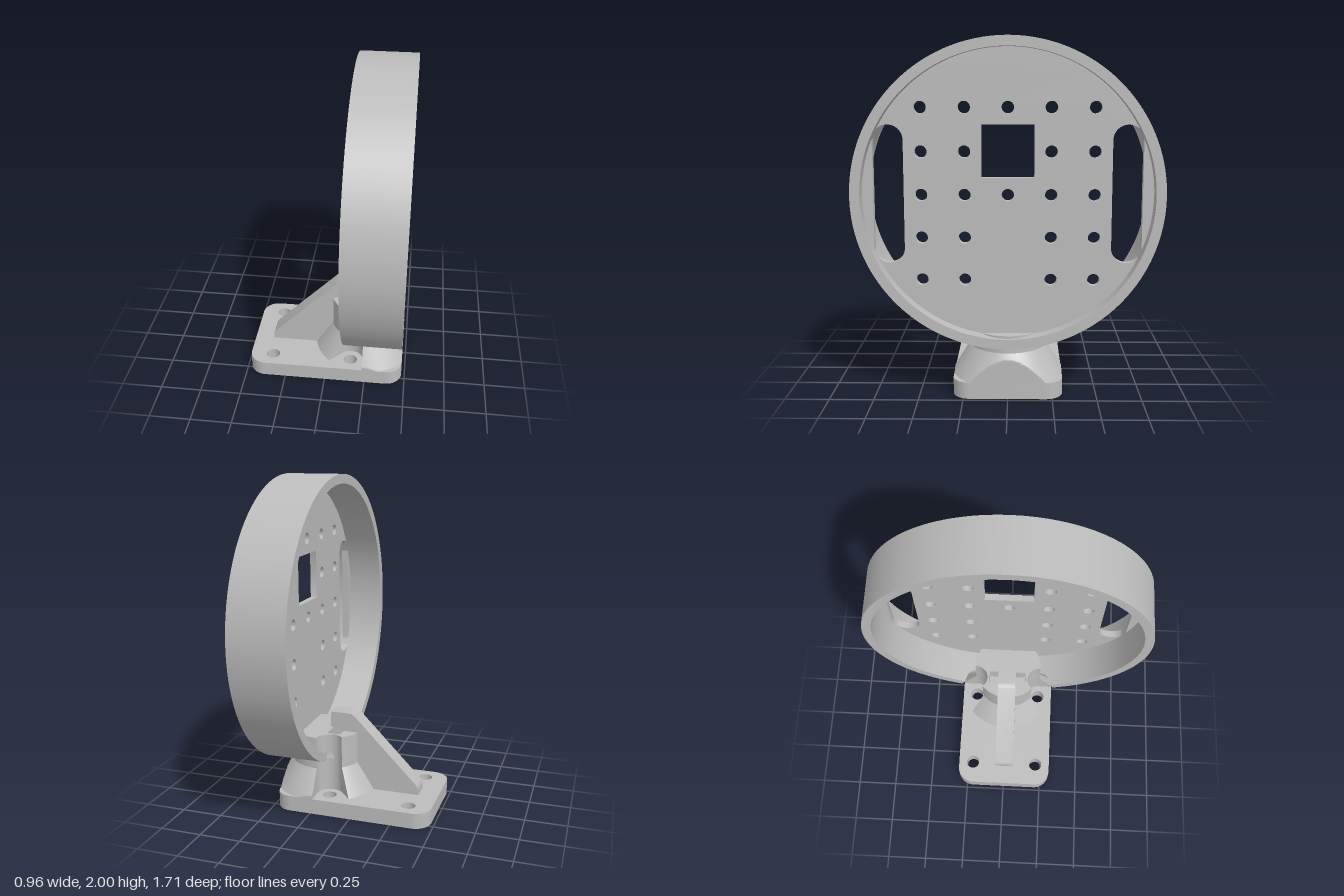
import * as THREE from 'three';
import { toCreasedNormals } from 'three/addons/utils/BufferGeometryUtils.js';

const CX = 0.24;                              // post axis
const POCKET = { x: 0.155, z: 0.215, r: 0.08 }; // screwdriver clearance pockets
const DISC_Y = 1.145;                         // ring centre height

// Surface through rows of points, each row closed on itself
function loft(rows, wrapRows, crease = 0.5) {
  const n = rows[0].length, index = [];
  const last = wrapRows ? rows.length : rows.length - 1;
  for (let j = 0; j < last; j++) {
    const k = (j + 1) % rows.length;
    for (let i = 0; i < n; i++) {
      const m = (i + 1) % n;
      const a = j * n + i, b = j * n + m, c = k * n + i, d = k * n + m;
      index.push(a, c, b, b, c, d);
    }
  }
  const g = new THREE.BufferGeometry();
  g.setAttribute('position', new THREE.Float32BufferAttribute(rows.flat(2), 3));
  g.setIndex(index);
  return toCreasedNormals(g, crease);
}

// Rounded rectangle, usable as outline or hole
function roundRect(path, x0, y0, x1, y1, r) {
  path.moveTo(x0 + r, y0);
  path.lineTo(x1 - r, y0).absarc(x1 - r, y0 + r, r, -Math.PI / 2, 0);
  path.lineTo(x1, y1 - r).absarc(x1 - r, y1 - r, r, 0, Math.PI / 2);
  path.lineTo(x0 + r, y1).absarc(x0 + r, y1 - r, r, Math.PI / 2, Math.PI);
  path.lineTo(x0, y0 + r).absarc(x0 + r, y0 + r, r, Math.PI, Math.PI * 1.5);
  return path;
}

const circle = (x, y, r) => new THREE.Path().absarc(x, y, r, 0, Math.PI * 2, true);

function extrude(shape, depth, curveSegments = 24) {
  const g = new THREE.ExtrudeGeometry(shape, { depth, bevelEnabled: false, curveSegments });
  return toCreasedNormals(g, 0.5);
}

// Distance from the post axis to the near wall of a pocket, along an angle
const pocketDist = Math.hypot(POCKET.x - CX, POCKET.z);
const pocketAngle = Math.atan2(POCKET.z, POCKET.x - CX);
const pocketHalf = Math.asin(POCKET.r / pocketDist);
function pocketEntry(t) {
  const d = Math.abs(Math.atan2(Math.sin(t), Math.cos(t))) - pocketAngle;
  if (Math.abs(d) >= pocketHalf) return Infinity;
  const s = pocketDist * Math.sin(d);
  return pocketDist * Math.cos(d) - Math.sqrt(POCKET.r ** 2 - s * s);
}

// Angles round the post, with sharp breaks at the pocket sides
const angles = [];
for (let i = 0; i < 240; i++) angles.push(-Math.PI + (i / 240) * Math.PI * 2);
for (const side of [-1, 1]) for (const edge of [-1, 1]) for (const e of [-1e-4, 1e-4])
  angles.push(side * (pocketAngle + edge * pocketHalf + e));
angles.sort((a, b) => a - b);

export function createModel() {
  const group = new THREE.Group();
  const grey = new THREE.MeshStandardMaterial({ color: 0xbcbcbc, side: THREE.DoubleSide });
  grey.name = 'light grey';
  const add = (name, geometry) => {
    const mesh = new THREE.Mesh(geometry, grey);
    mesh.name = name;
    group.add(mesh);
    return mesh;
  };

  // Foot plate with four screw holes and the large underside bore
  const foot = roundRect(new THREE.Shape(), -0.48, -0.31, 0.48, 0.31, 0.1);
  for (const z of [-0.215, 0.215])
    foot.holes.push(circle(-0.34, z, 0.042), circle(POCKET.x, z, 0.042));
  foot.holes.push(circle(CX, 0, 0.115));
  add('footPlate', extrude(foot, 0.095)).rotation.x = -Math.PI / 2;

  // Blind bore continuing up into the post
  const bore = [[0.115, 0.09], [0.115, 0.25], [0.001, 0.25]].map(p => new THREE.Vector2(...p));
  add('bore', toCreasedNormals(new THREE.LatheGeometry(bore, 40), 0.5)).position.x = CX;

  // Conical post, trimmed to the foot outline and by the two pockets
  const levels = [];
  for (let i = 0; i <= 36; i++) levels.push(0.095 + (i / 36) * 0.165);
  levels.push(0.36);
  const postRows = levels.map(y => {
    const cone = y >= 0.26 ? 0.22 : 0.22 + (0.26 - y) * 0.62;
    return angles.map(t => {
      const c = Math.cos(t), s = Math.sin(t);
      const r = Math.min(cone, c > 0 ? (0.48 - CX) / c : 9, 0.31 / Math.max(1e-6, Math.abs(s)), pocketEntry(t));
      return [CX + r * c, y, r * s];
    });
  });
  postRows.push(angles.map(t => [CX + 0.001 * Math.cos(t), 0.36, 0.001 * Math.sin(t)]));
  add('post', loft(postRows, false));

  // Upper post behind the disc, with a nut slot
  const upper = new THREE.Shape(angles.map(t => {
    const c = Math.cos(t);
    const r = Math.min(0.22, c > 0 ? (0.365 - CX) / c : 9, pocketEntry(t));
    return new THREE.Vector2(CX + r * c, r * Math.sin(t));
  }));
  upper.holes.push(new THREE.Path([[0.12, -0.12], [0.12, 0.12], [0.2, 0.12], [0.2, -0.12]]
    .map(p => new THREE.Vector2(...p))));
  const upperMesh = add('upperPost', extrude(upper, 0.097));
  upperMesh.rotation.x = -Math.PI / 2;
  upperMesh.position.y = 0.358;

  // Sloping rib that overhangs the nut slot
  const rib = new THREE.Shape();
  rib.moveTo(-0.36, 0.09);
  rib.lineTo(-0.36, 0.12);
  rib.quadraticCurveTo(-0.36, 0.14, -0.345, 0.157);
  rib.lineTo(0.045, 0.555);
  rib.quadraticCurveTo(0.062, 0.572, 0.085, 0.572);
  rib.lineTo(0.2, 0.572);
  rib.lineTo(0.2, 0.475);
  rib.lineTo(0.12, 0.475);
  rib.lineTo(0.12, 0.09);
  add('rib', extrude(rib, 0.116, 8)).position.z = -0.058;

  // Ring, notched where the pockets pass through it
  const ringRows = [];
  for (let i = 0; i < 360; i++) {
    const a = (i / 360) * Math.PI * 2, s = Math.sin(a), c = Math.cos(a);
    const off = Math.abs(0.84 * s) - POCKET.z;
    const notched = c > 0 && Math.abs(off) < POCKET.r;
    const x0 = notched ? POCKET.x + Math.sqrt(POCKET.r ** 2 - off * off) : 0.142;
    ringRows.push([[0.478, 0.8], [0.478, 0.855], [x0, 0.855], [x0, 0.8]]
      .map(([x, r]) => [x, DISC_Y - r * c, r * s]));
  }
  add('ring', loft(ringRows, true));

  // Perforated disc inside the ring
  const disc = new THREE.Shape().absarc(0, 0, 0.805, 0, Math.PI * 2);
  for (const y of [0.478, 0.238, 0, -0.238, -0.476]) {
    for (const z of [-0.476, -0.238, 0.238, 0.476]) disc.holes.push(circle(z, y, 0.034));
    if (y === 0 || y > 0.4) disc.holes.push(circle(0, y, 0.034));
  }
  disc.holes.push(roundRect(new THREE.Path(), -0.145, 0.095, 0.145, 0.385, 0.001));
  for (const z of [-0.655, 0.655])
    disc.holes.push(roundRect(new THREE.Path(), z - 0.084, -0.38, z + 0.084, 0.385, 0.0835));
  const discMesh = add('disc', extrude(disc, 0.04, 48));
  discMesh.rotation.y = Math.PI / 2;
  discMesh.position.set(0.36, DISC_Y, 0);

  return group;
}
